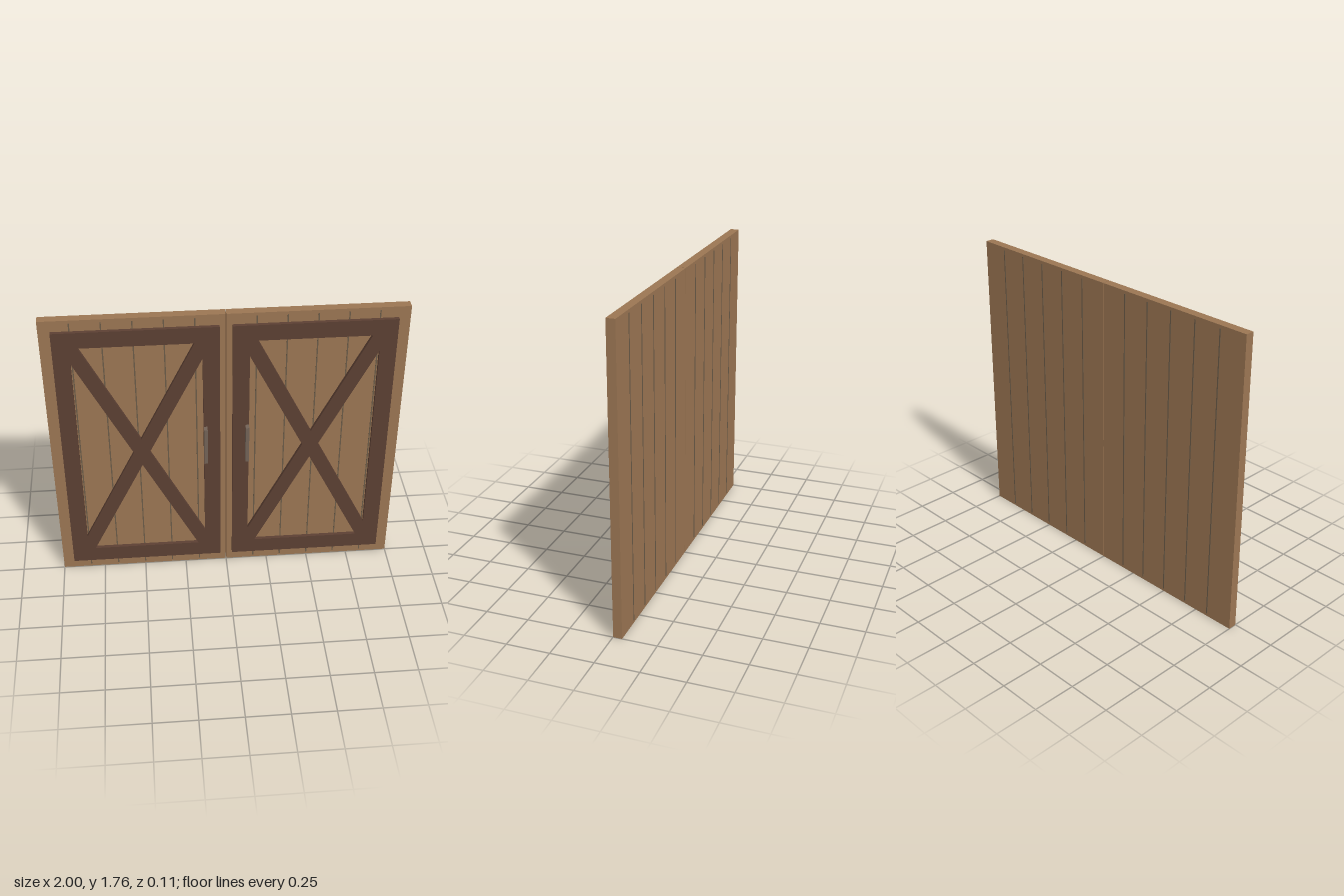
import * as THREE from 'three';

const wood = new THREE.MeshStandardMaterial({ color: 0x9b7653 });
wood.name = 'wood';
const darkWood = new THREE.MeshStandardMaterial({ color: 0x5c4033 });
darkWood.name = 'darkWood';
const iron = new THREE.MeshStandardMaterial({ color: 0x736357 });
iron.name = 'iron';
const groove = new THREE.MeshStandardMaterial({ color: 0x6b5b48 });
groove.name = 'groove';

const HEIGHT = 1.76, MID = HEIGHT / 2;

function box(name, material, [w, h, d], [x, y, z]) {
  const mesh = new THREE.Mesh(new THREE.BoxGeometry(w, h, d), material);
  mesh.name = name;
  mesh.position.set(x, y, z);
  return mesh;
}

function polygon(points, Type) {
  return new Type(points.map(([x, y]) => new THREE.Vector2(x, y)));
}

// Frame with a crossed brace: a rectangle with four triangular openings
function braceGeometry() {
  const W = 0.45, H = 0.815, w = 0.356, h = 0.718;
  const gapX = 0.046, gapY = 0.092, slope = 2;
  const shape = polygon([[-W, -H], [W, -H], [W, H], [-W, H]], THREE.Shape);
  const bx = (h - gapY) / slope, by = (w - gapX) * slope;
  for (const s of [-1, 1]) {
    shape.holes.push(polygon([[0, s * gapY], [-bx, s * h], [bx, s * h]], THREE.Path));
    shape.holes.push(polygon([[s * gapX, 0], [s * w, by], [s * w, -by]], THREE.Path));
  }
  return new THREE.ExtrudeGeometry(shape, { depth: 0.021, bevelEnabled: false });
}

export function createModel() {
  const model = new THREE.Group();
  model.name = 'doubleBarnDoor';
  const braces = braceGeometry();

  for (const side of [-1, 1]) {
    const door = new THREE.Group();
    door.name = side > 0 ? 'leftDoor' : 'rightDoor';

    // Door leaf, leaving a hairline seam at the middle
    door.add(box('panel', wood, [0.998, HEIGHT, 0.051], [side * 0.501, MID, -0.0265]));

    // Plank joints, just proud of both faces
    for (let i = 1; i < 6; i++) {
      door.add(box('plankJoint', groove, [0.007, 1.725, 0.055], [side * i / 6, MID, -0.0265]));
    }

    // Raised frame and cross brace
    const frame = new THREE.Mesh(braces, darkWood);
    frame.name = 'crossBracedFrame';
    frame.position.set(side * 0.485, MID, 0);
    door.add(frame);

    // Pull handle
    door.add(box('handle', iron, [0.02, 0.24, 0.034], [side * 0.118, 0.92, 0.038]));
    model.add(door);
  }
  return model;
}
